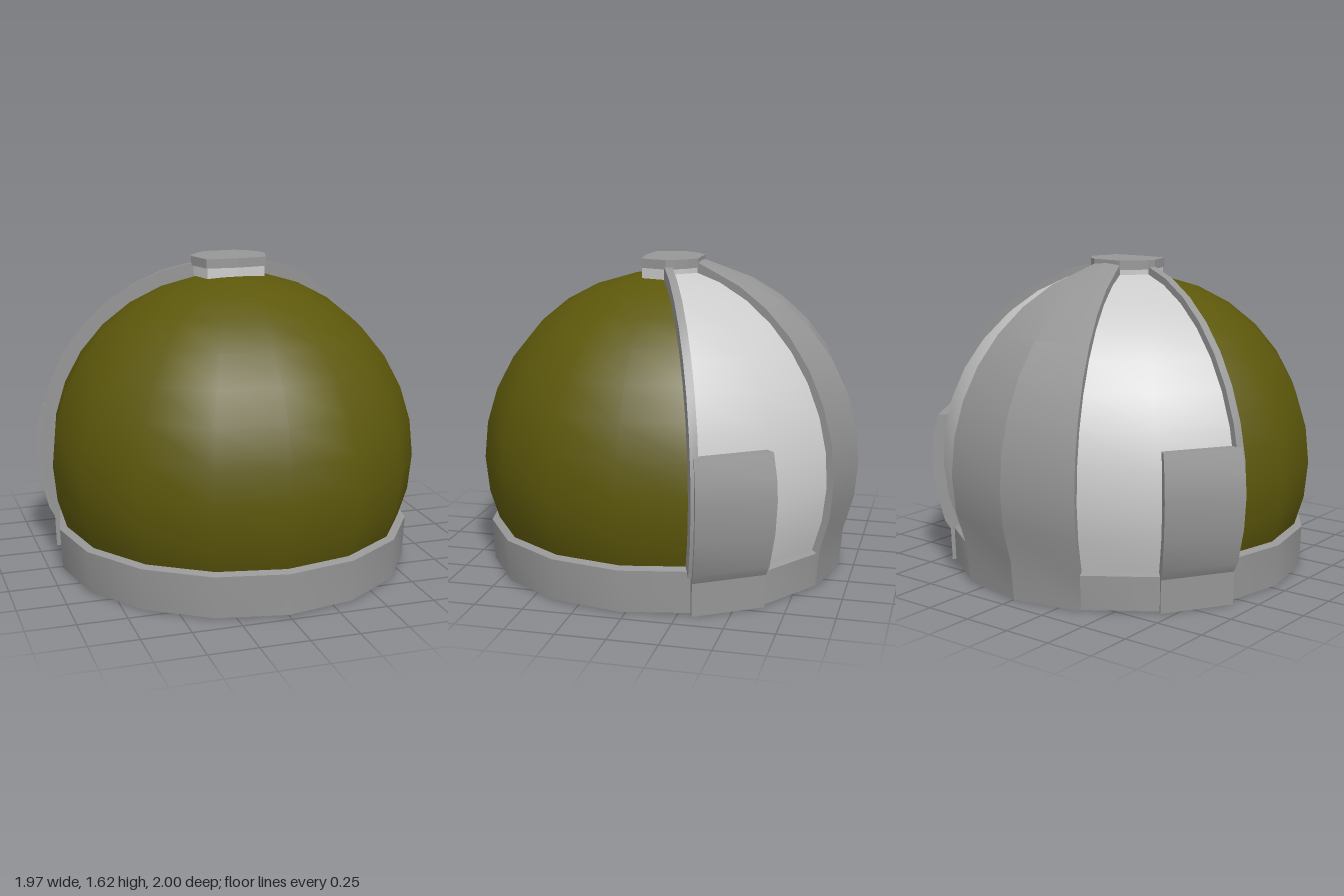
import * as THREE from 'three';
import { toCreasedNormals } from 'three/addons/utils/BufferGeometryUtils.js';

const CY = 0.57; // height of the dome's centre
const CZ = 0.03; // depth of the dome's axis
const STEP = 22.5; // the dome has 16 sides
const rad = THREE.MathUtils.degToRad;

const lightGrey = new THREE.MeshStandardMaterial({ color: 0xcccccc });
const trim = new THREE.MeshStandardMaterial({ color: 0x979797 });
const olive = new THREE.MeshStandardMaterial({ color: 0x5d580b, side: THREE.DoubleSide });
const black = new THREE.MeshStandardMaterial({ color: 0x0a0a0a, side: THREE.DoubleSide });

// Points [radius, height] down a meridian of the dome, polar angles in degrees
function meridian(r, from, to, n) {
  return Array.from({ length: n + 1 }, (_, i) => {
    const t = rad(from + ((to - from) * i) / n);
    return [r * Math.sin(t), CY + r * Math.cos(t)];
  });
}

// Azimuths in degrees, measured from the front towards +x
function azimuths(from, to) {
  const n = Math.round((to - from) / STEP);
  return Array.from({ length: n + 1 }, (_, i) => from + STEP * i);
}

const toShape = (points) => new THREE.Shape(points.map(([x, y]) => new THREE.Vector2(x, y)));

// Solid shell: outer and inner profiles (both top to bottom) swept through azimuths
function shell(az, outer, inner, crease) {
  const loop = [...outer, ...[...inner].reverse()];
  const m = loop.length;
  const n = outer.length;
  const pos = [];
  const idx = [];
  for (const a of az) {
    for (const [r, y] of loop) pos.push(r * Math.sin(rad(a)), y, r * Math.cos(rad(a)));
  }
  const quad = (a, b, c, d) => idx.push(a, b, c, a, c, d);
  for (let i = 0; i < az.length - 1; i++) {
    for (let j = 0; j < m; j++) {
      const k = (j + 1) % m;
      quad(i * m + j, i * m + k, (i + 1) * m + k, (i + 1) * m + j);
    }
  }
  const last = (az.length - 1) * m;
  for (let j = 0; j < n - 1; j++) {
    const o = j, o2 = j + 1, q = m - 1 - j, q2 = m - 2 - j;
    quad(o, q, q2, o2);
    quad(last + o, last + o2, last + q2, last + q);
  }
  const g = new THREE.BufferGeometry();
  g.setAttribute('position', new THREE.Float32BufferAttribute(pos, 3));
  g.setIndex(idx);
  return toCreasedNormals(g, crease);
}

// Curved bar of constant width standing just in front of a rear panel's edge
function borderBar(isLeft) {
  const width = 0.04;
  const outline = [...meridian(1.035, 10.5, 111, 10), ...meridian(0.95, 10.5, 111, 10).reverse()];
  const g = new THREE.ExtrudeGeometry(toShape(outline), { depth: width, bevelEnabled: false });
  g.translate(0, 0, isLeft ? -0.005 : 0.005 - width);
  g.rotateY(rad(isLeft ? STEP : 180 - STEP));
  return toCreasedNormals(g, 0.3);
}

export function createModel() {
  const model = new THREE.Group();
  model.name = 'helmet';
  const add = (name, geometry, material) => {
    const mesh = new THREE.Mesh(geometry, material);
    mesh.name = name;
    mesh.position.z = CZ;
    model.add(mesh);
    return mesh;
  };

  // Tinted dome, open at the neck
  const dome = add('visor', new THREE.SphereGeometry(0.965, 16, 10, 0, Math.PI * 2, 0, rad(112.5)), olive);
  dome.position.y = CY;

  // Neck ring: the front stands a little higher than the back
  add('frontNeckRing', shell(azimuths(-112.5, 112.5),
    [[0.89, 0.235], [0.94, 0.22], [0.93, 0.005]],
    [[0.87, 0.22], [0.87, 0.2], [0.87, 0.005]], 0.45), trim);
  add('backNeckRing', shell(azimuths(112.5, 247.5),
    [[0.91, 0.2], [0.95, 0.18], [0.945, 0.005]],
    [[0.87, 0.2], [0.87, 0.18], [0.87, 0.005]], 0.45), trim);

  // Dark seal inside the neck
  const lining = [[0.866, 0.01], [0.855, 0.1], [0.845, 0.18], [0.775, 0.2], [0.885, 0.215]]
    .map(([x, y]) => new THREE.Vector2(x, y));
  add('neckSeal', toCreasedNormals(new THREE.LatheGeometry(lining, 16), 0.5), black);

  // Rear shell panels, their raised front borders and the side plates
  const plateOuter = [[1.02, 0.8], [1.05, 0.68], [1.06, 0.57], [1.045, 0.4], [1.0, 0.22], [0.97, 0.17], [0.965, 0]];
  const plateInner = plateOuter.map(([, y]) => [0.9, y]);
  for (const side of ['left', 'right']) {
    const isLeft = side === 'left';
    const place = (az) => (isLeft ? az : az.map((a) => -a).reverse());
    add(side + 'RearPanel', shell(place(azimuths(112.5, 157.5)),
      meridian(0.998, 10, 112.5, 10), meridian(0.95, 10, 112.5, 10), 0.6), lightGrey);
    add(side + 'PanelBorder', borderBar(isLeft), trim);
    add(side + 'SidePlate', shell(place([111.5, 134.2]), plateOuter, plateInner, 0.35), trim);
  }

  // Central rear band, running down over the neck ring
  add('rearBand', shell(azimuths(157.5, 202.5),
    [[0.17, 1.612], ...meridian(1.037, 16, 111, 9), [0.95, 0]],
    [[0.17, 1.5], ...meridian(0.95, 16, 111, 9), [0.88, 0]], 0.3), trim);

  // Faceted boss on the crown, on a slightly smaller light base
  const half = [[0, -0.135], [0.16, -0.12], [0.2, 0.02], [0.185, 0.06], [0.14, 0.12], [0.08, 0.165]];
  const outline = toShape([...half, ...half.slice(1).reverse().map(([x, y]) => [-x, y])]);
  const addSlab = (name, y, depth, scale, material) => {
    const slab = new THREE.ExtrudeGeometry(outline, { depth, bevelEnabled: false });
    slab.rotateX(-Math.PI / 2).scale(scale, 1, scale);
    add(name, slab, material).position.set(0, y, 0);
  };
  addSlab('crownBoss', 1.572, 0.048, 1, trim);
  addSlab('crownBase', 1.518, 0.056, 0.96, lightGrey);

  return model;
}
